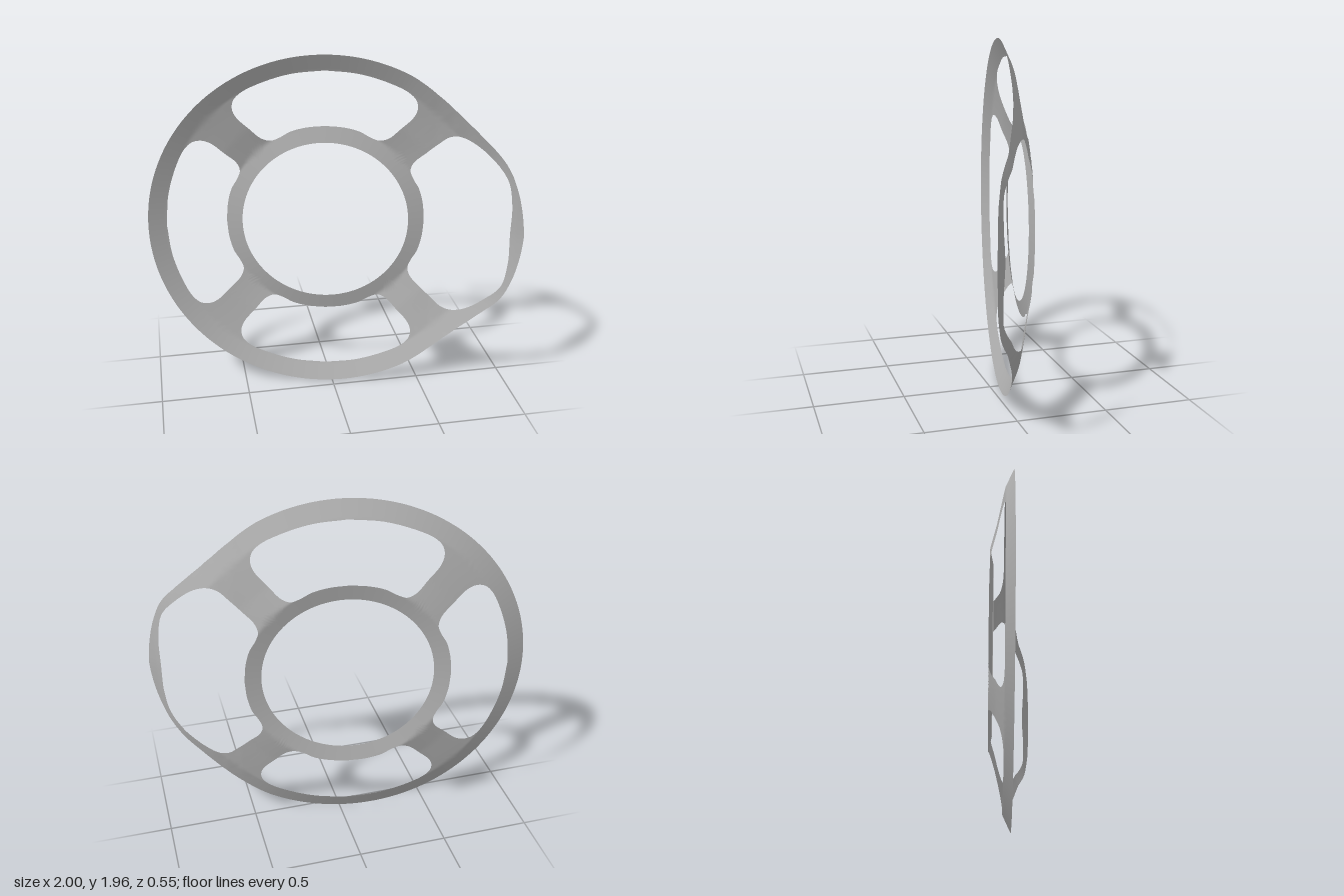
import * as THREE from 'three';
import { mergeVertices } from 'three/addons/utils/BufferGeometryUtils.js';

const INNER = 0.467, RIM = 0.98, RING = 0.557;

// Piecewise linear lookup in a list of [input, output] pairs
function lookup(table, x) {
  if (x <= table[0][0]) return table[0][1];
  for (let i = 1; i < table.length; i++) {
    const [x0, y0] = table[i - 1], [x1, y1] = table[i];
    if (x <= x1) return y0 + (y1 - y0) * (x - x0) / (x1 - x0);
  }
  return table[table.length - 1][1];
}

// Rim radius by angle from +x in degrees: one side is bent out
const rimTable = [[0, 1.08], [13.5, 1.068], [20, 1.06], [24, 1.047], [28, 1.025], [33, 1.0],
  [39, 0.98], [45, 0.971], [52, 0.97], [62, RIM]];
// Dish depth by radius
const dishTable = [[INNER, -0.105], [RING, -0.124], [0.69, -0.088], [0.82, -0.06], [0.885, -0.045], [RIM, 0]];
// Forward bend of the +x side
const bendTable = [[0.6, 0], [0.68, 0.005], [0.76, 0.018], [0.905, 0.055], [0.984, 0.097], [1.037, 0.117], [1.08, 0.125]];

function rimRadius(angle) {
  const d = Math.abs(THREE.MathUtils.radToDeg(Math.atan2(Math.sin(angle), Math.cos(angle))));
  return lookup(rimTable, d);
}

function depth(x, y) {
  const r = Math.hypot(x, y), rim = rimRadius(Math.atan2(y, x));
  const k = THREE.MathUtils.clamp((r - RING) / (rim - RING), 0, 1);
  return lookup(dishTable, r - (rim - RIM) * k) + lookup(bendTable, x);
}

// Half of an opening: [sideways, outward] from the inner ring to the rim
const innerPart = [[0, 0.557], [0.1, 0.548], [0.19, 0.524], [0.25, 0.49], [0.3, 0.473],
  [0.35, 0.49], [0.41, 0.55], [0.475, 0.62]];
const plainHole = [...innerPart, [0.495, 0.67], [0.487, 0.72], [0.445, 0.765], [0.34, 0.817], [0.18, 0.866], [0, 0.885]];
const bentHole = [...innerPart, [0.515, 0.67], [0.525, 0.73], [0.48, 0.83], [0.33, 0.975], [0.18, 1.01], [0, 1.012]];
// Matching points on the sector border: [angle, 0 at inner edge .. 1 at rim]
const border = [[0, 0], [10.4, 0], [20, 0], [28, 0], [36, 0], [45, 0], [45, 0.25], [45, 0.5],
  [45, 0.75], [45, 1], [34, 1], [21, 1], [11, 1], [0, 1]];

// Quarter of the frame: a sheet lofted from the opening out to the sector border
function addSector(hole, axis, positions, indices) {
  const curve = new THREE.CatmullRomCurve3(hole.map(([u, v]) => new THREE.Vector3(u, v, 0)));
  const segments = (border.length - 1) * 6, steps = 12;
  const half = [];
  for (let i = 0; i <= segments; i++) {
    const t = i / segments, p = curve.getPoint(t), s = t * (border.length - 1);
    const b = Math.min(Math.floor(s), border.length - 2), f = s - b;
    half.push({
      u: p.x, v: p.y,
      angle: THREE.MathUtils.degToRad(THREE.MathUtils.lerp(border[b][0], border[b + 1][0], f)),
      out: THREE.MathUtils.lerp(border[b][1], border[b + 1][1], f),
    });
  }
  const mirrored = half.slice(1, -1).reverse().map((p) => ({ ...p, u: -p.u, angle: -p.angle }));
  const loop = [...half, ...mirrored];
  const base = positions.length / 3, row = steps + 1;
  const c = Math.cos(axis), s = Math.sin(axis);
  loop.forEach((p, i) => {
    const a = axis + p.angle, r = THREE.MathUtils.lerp(INNER, rimRadius(a), p.out);
    const hx = p.v * c - p.u * s, hy = p.v * s + p.u * c;
    for (let j = 0; j <= steps; j++) {
      const x = THREE.MathUtils.lerp(hx, r * Math.cos(a), j / steps);
      const y = THREE.MathUtils.lerp(hy, r * Math.sin(a), j / steps);
      positions.push(x, y, depth(x, y));
    }
    const n = (i + 1) % loop.length;
    for (let j = 0; j < steps; j++) {
      const p0 = base + i * row + j, p1 = base + n * row + j;
      indices.push(p0, p1, p0 + 1, p1, p1 + 1, p0 + 1);
    }
  });
}

export function createModel() {
  const metal = new THREE.MeshStandardMaterial({ color: 0xb0b0b0, side: THREE.DoubleSide });
  metal.name = 'grey metal';

  // Four sectors welded into one smooth sheet
  const positions = [], indices = [];
  for (let q = 0; q < 4; q++) addSector(q === 0 ? bentHole : plainHole, q * Math.PI / 2, positions, indices);
  let geometry = new THREE.BufferGeometry();
  geometry.setAttribute('position', new THREE.Float32BufferAttribute(positions, 3));
  geometry.setIndex(indices);
  geometry = mergeVertices(geometry, 1e-4);
  geometry.computeVertexNormals();

  const frame = new THREE.Mesh(geometry, metal);
  frame.name = 'bentWheelFrame';
  frame.rotation.y = -0.185;
  frame.position.set(-0.038, RIM, -0.058);

  const model = new THREE.Group();
  model.name = 'spokedRing';
  model.add(frame);
  return model;
}
